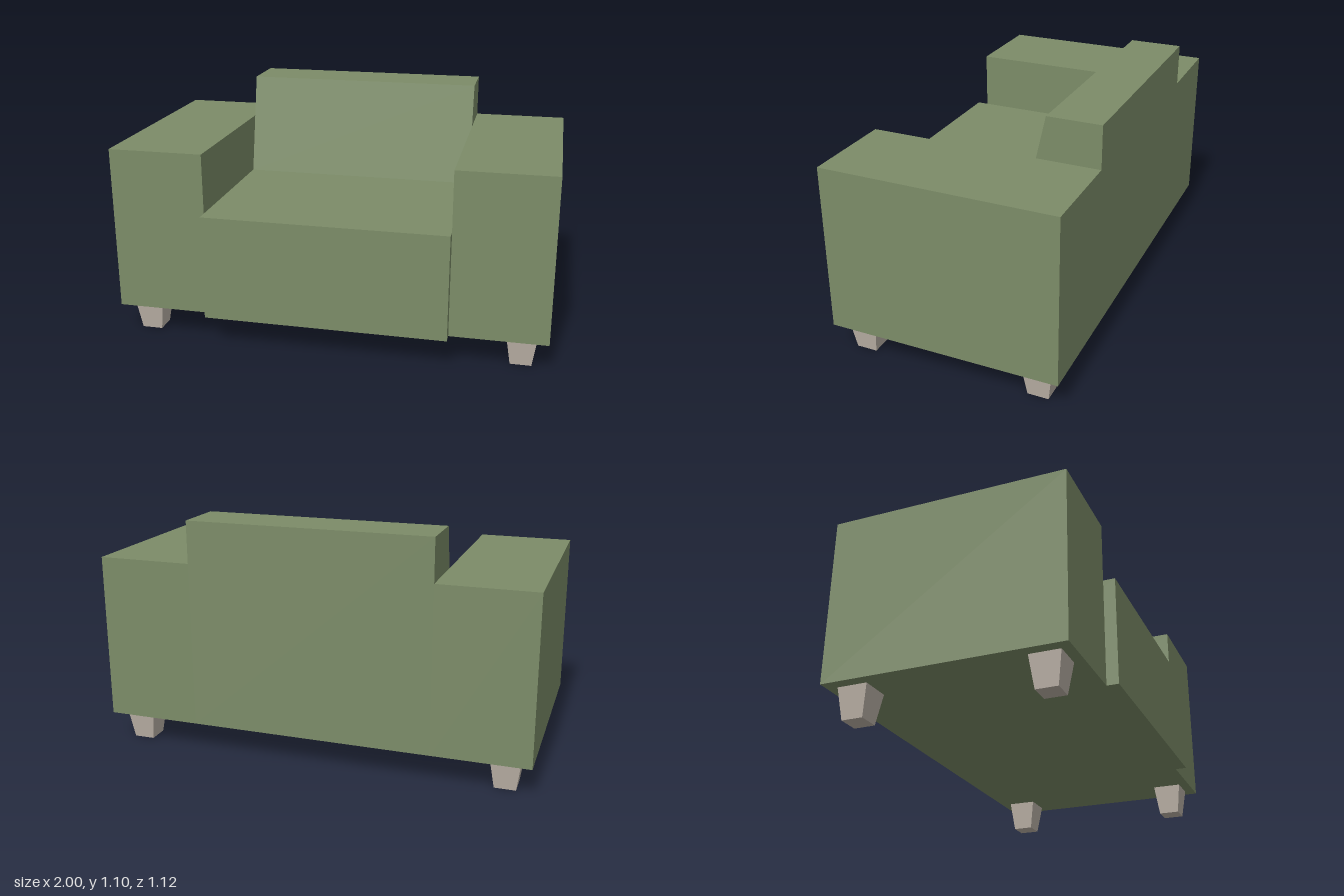
import * as THREE from 'three';

const BASE = 0.14, BACK = -0.56, INNER = 0.56;

export function createModel() {
  const model = new THREE.Group();
  model.name = 'armchair';
  const fabric = new THREE.MeshStandardMaterial({ color: 0x7c8c68, flatShading: true });
  const wood = new THREE.MeshStandardMaterial({ color: 0xbdb3a8, flatShading: true });

  const add = (name, geometry, material, x = 0, y = 0, z = 0) => {
    const mesh = new THREE.Mesh(geometry, material);
    mesh.name = name;
    mesh.position.set(x, y, z);
    model.add(mesh);
  };

  // extrude a (z, y) side profile across the width, centred on x = 0
  const acrossWidth = (points, width) => {
    const shape = new THREE.Shape(points.map(([z, y]) => new THREE.Vector2(z, y)));
    return new THREE.ExtrudeGeometry(shape, { depth: width, bevelEnabled: false })
      .translate(0, 0, -width / 2)
      .rotateY(-Math.PI / 2);
  };

  // seat block, reaching forward of the arms
  add('seat', acrossWidth([[-0.21, BASE], [0.56, BASE], [0.56, 0.63], [-0.21, 0.63]], INNER * 2), fabric);

  // backrest with a raked front face
  add('backrest', acrossWidth(
    [[BACK, BASE], [-0.21, BASE], [-0.21, 0.63], [-0.315, 1.1], [BACK, 1.1]], INNER * 2), fabric);

  // square tapered leg, wider at the top
  const legGeometry = new THREE.CylinderGeometry(0.068 * Math.SQRT2, 0.048 * Math.SQRT2, BASE, 4)
    .rotateY(Math.PI / 4);

  for (const [side, s] of [['left', 1], ['right', -1]]) {
    add(`${side}Arm`, new THREE.BoxGeometry(0.44, 0.765, 1.067), fabric, s * 0.78, BASE + 0.3825, -0.0265);
    add(`${side}FrontLeg`, legGeometry, wood, s * 0.88, BASE / 2, 0.392);
    add(`${side}BackLeg`, legGeometry, wood, s * 0.88, BASE / 2, -0.443);
  }
  return model;
}
